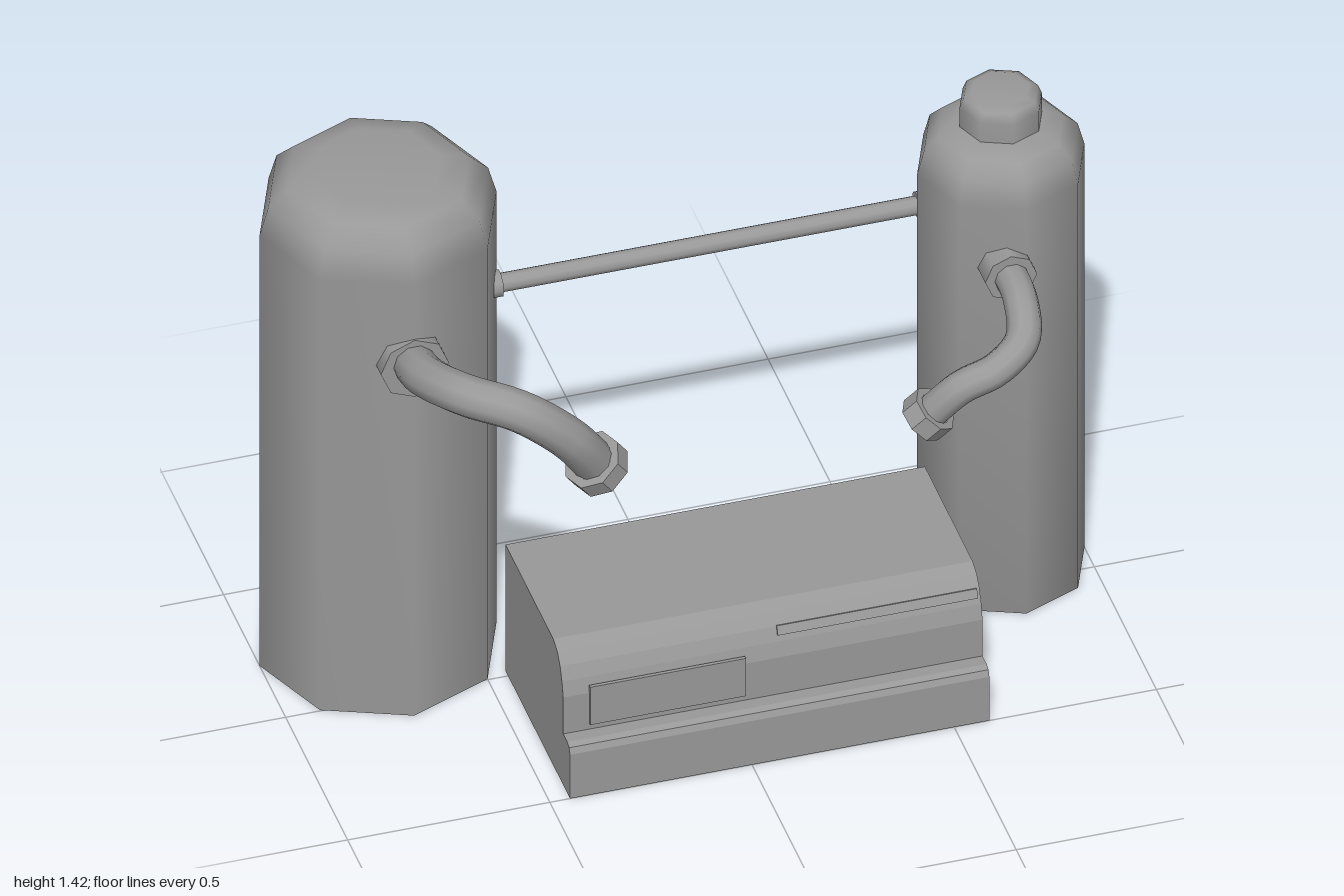
import * as THREE from 'three';

export function createModel() {
  const model = new THREE.Group();
  const grey = new THREE.MeshStandardMaterial({ color: 0x999999 });
  grey.name = 'grey';
  const up = new THREE.Vector3(0, 1, 0);

  const add = (name, geometry, x = 0, y = 0, z = 0) => {
    const mesh = new THREE.Mesh(geometry, grey);
    mesh.name = name;
    mesh.position.set(x, y, z);
    model.add(mesh);
    return mesh;
  };
  const lathe = (pts, sides = 8) =>
    new THREE.LatheGeometry(pts.map(([r, y]) => new THREE.Vector2(r, y)), sides);

  // Eight-sided tanks with smooth shoulders
  add('largeTank', lathe([
    [0.293, 0], [0.293, 1.28], [0.272, 1.355], [0.225, 1.4], [0.155, 1.42], [0, 1.42],
  ]), -0.707, 0, -0.21);
  add('largeTankBase', new THREE.CircleGeometry(0.293, 8).rotateX(Math.PI / 2), -0.707, 0, -0.21);
  add('smallTank', lathe([
    [0, 0], [0.207, 0], [0.207, 1.2], [0.19, 1.265], [0.155, 1.3], [0.102, 1.32], [0, 1.32],
  ]), 0.793, 0, -0.08);
  add('smallTankCap', lathe([
    [0.102, 1.29], [0.102, 1.375], [0.092, 1.4], [0.07, 1.41], [0, 1.41],
  ]), 0.793, 0, -0.08);

  // Rod joining the tanks, with a small collar at each end
  const rod = (name, r, x0, x1) => add(name,
    new THREE.CylinderGeometry(r, r, x1 - x0, 10).rotateZ(Math.PI / 2), (x0 + x1) / 2, 1.03, -0.18);
  rod('connectingRod', 0.024, -0.45, 0.65);
  rod('rodCollarLarge', 0.034, -0.45, -0.415);
  rod('rodCollarSmall', 0.034, 0.615, 0.65);

  // Bent hoses with a flange on the tank and a recessed nut on the free end
  const hose = (name, pts, r, nutR, flangeR, flangeZ) => {
    const curve = new THREE.CatmullRomCurve3(pts.map((p) => new THREE.Vector3(...p)));
    add(name + 'Hose', new THREE.TubeGeometry(curve, 28, r, 10));
    const [x, y] = pts[0];
    add(name + 'Flange', new THREE.CylinderGeometry(flangeR, flangeR, 0.1, 8).rotateX(Math.PI / 2),
      x, y, flangeZ - 0.05);
    const nut = new THREE.Group();
    nut.name = name + 'Nut';
    const ring = [[r, -0.025], [nutR, -0.025], [nutR, 0.025], [nutR * 0.8, 0.025], [nutR * 0.8, 0.012], [0, 0.012]];
    const ringMesh = new THREE.Mesh(lathe(ring).toNonIndexed(), grey);
    ringMesh.geometry.computeVertexNormals();
    ringMesh.name = name + 'NutRing';
    nut.add(ringMesh);
    nut.position.copy(curve.getPoint(1));
    nut.quaternion.setFromUnitVectors(up, curve.getTangent(1));
    model.add(nut);
  };
  hose('large', [
    [-0.707, 1.035, 0.04], [-0.703, 1.07, 0.17], [-0.645, 1.1, 0.305],
    [-0.54, 1.085, 0.38], [-0.425, 0.99, 0.39], [-0.34, 0.865, 0.355],
  ], 0.052, 0.075, 0.084, 0.087);
  hose('small', [
    [0.75, 1.02, 0.08], [0.75, 1.01, 0.22], [0.725, 0.965, 0.315],
    [0.65, 0.925, 0.355], [0.565, 0.89, 0.352], [0.49, 0.802, 0.322],
  ], 0.042, 0.062, 0.064, 0.145);

  // Control box: side profile (z, y) extruded along x
  const profile = new THREE.Shape([
    [-0.02, 0], [0.5, 0], [0.5, 0.13], [0.493, 0.146], [0.478, 0.152], [0.445, 0.152],
    [0.445, 0.26], [0.435, 0.3], [0.42, 0.335], [0.398, 0.362], [0.365, 0.376], [-0.02, 0.376],
  ].map(([z, y]) => new THREE.Vector2(z, y)));
  const box = new THREE.ExtrudeGeometry(profile, { depth: 1.037, bevelEnabled: false });
  box.rotateY(-Math.PI / 2);
  add('controlBox', box, 0.587, 0, 0);

  // Thin display plate and slot cover on the box front
  add('displayPlate', new THREE.BoxGeometry(0.385, 0.112, 0.009), -0.193, 0.226, 0.4485);
  const slot = add('slotCover', new THREE.BoxGeometry(0.495, 0.024, 0.009), 0.332, 0.326, 0.425);
  slot.rotation.x = -0.4;

  return model;
}
